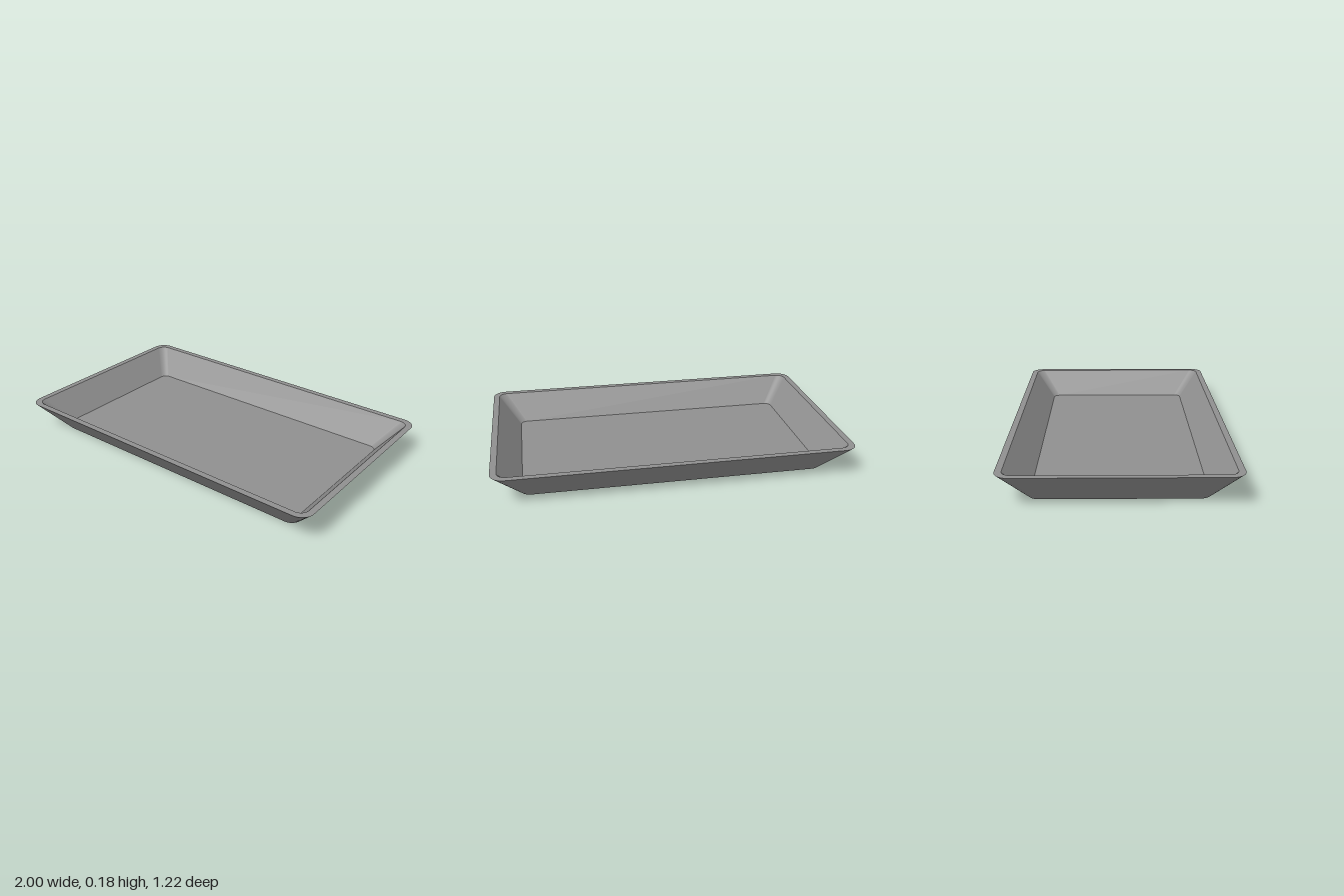
import * as THREE from 'three';

const CORNER_STEPS = 10;

// Rounded rectangle section: half width, half depth, corner radius, height
const OUTER_BASE = { w: 0.855, d: 0.465, r: 0.06, y: 0 };
const OUTER_RIM = { w: 1.0, d: 0.61, r: 0.075, y: 0.177 };
const INNER_RIM = { w: 0.965, d: 0.575, r: 0.05, y: 0.177 };
const FLOOR = { w: 0.84, d: 0.45, r: 0.04, y: 0.025 };
const centreOf = (s) => ({ w: 0, d: 0, r: 0, y: s.y });

// Points of one section, running from +x towards +z
function ring({ w, d, r, y }) {
  const points = [];
  const signs = [[1, 1], [-1, 1], [-1, -1], [1, -1]];
  signs.forEach(([sx, sz], corner) => {
    for (let i = 0; i <= CORNER_STEPS; i++) {
      const a = (corner + i / CORNER_STEPS) * Math.PI / 2;
      points.push(sx * (w - r) + r * Math.cos(a), y, sz * (d - r) + r * Math.sin(a));
    }
  });
  return points;
}

// Skin between two sections; each skin has its own normals, so its borders stay sharp
function skin(name, from, to, material) {
  const a = ring(from);
  const b = ring(to);
  const n = a.length / 3;
  const index = [];
  for (let i = 0; i < n; i++) {
    const j = (i + 1) % n;
    index.push(i, n + i, j, j, n + i, n + j);
  }
  const geometry = new THREE.BufferGeometry();
  geometry.setAttribute('position', new THREE.Float32BufferAttribute([...a, ...b], 3));
  geometry.setIndex(index);
  geometry.computeVertexNormals();
  const mesh = new THREE.Mesh(geometry, material);
  mesh.name = name;
  return mesh;
}

export function createModel() {
  const grey = new THREE.MeshStandardMaterial({ color: 0x909090 });
  grey.name = 'trayGrey';

  const tray = new THREE.Group();
  tray.name = 'tray';
  tray.add(
    skin('underside', centreOf(OUTER_BASE), OUTER_BASE, grey),
    skin('outerWall', OUTER_BASE, OUTER_RIM, grey),
    skin('rim', OUTER_RIM, INNER_RIM, grey),
    skin('innerWall', INNER_RIM, FLOOR, grey),
    skin('floor', FLOOR, centreOf(FLOOR), grey),
  );
  return tray;
}
